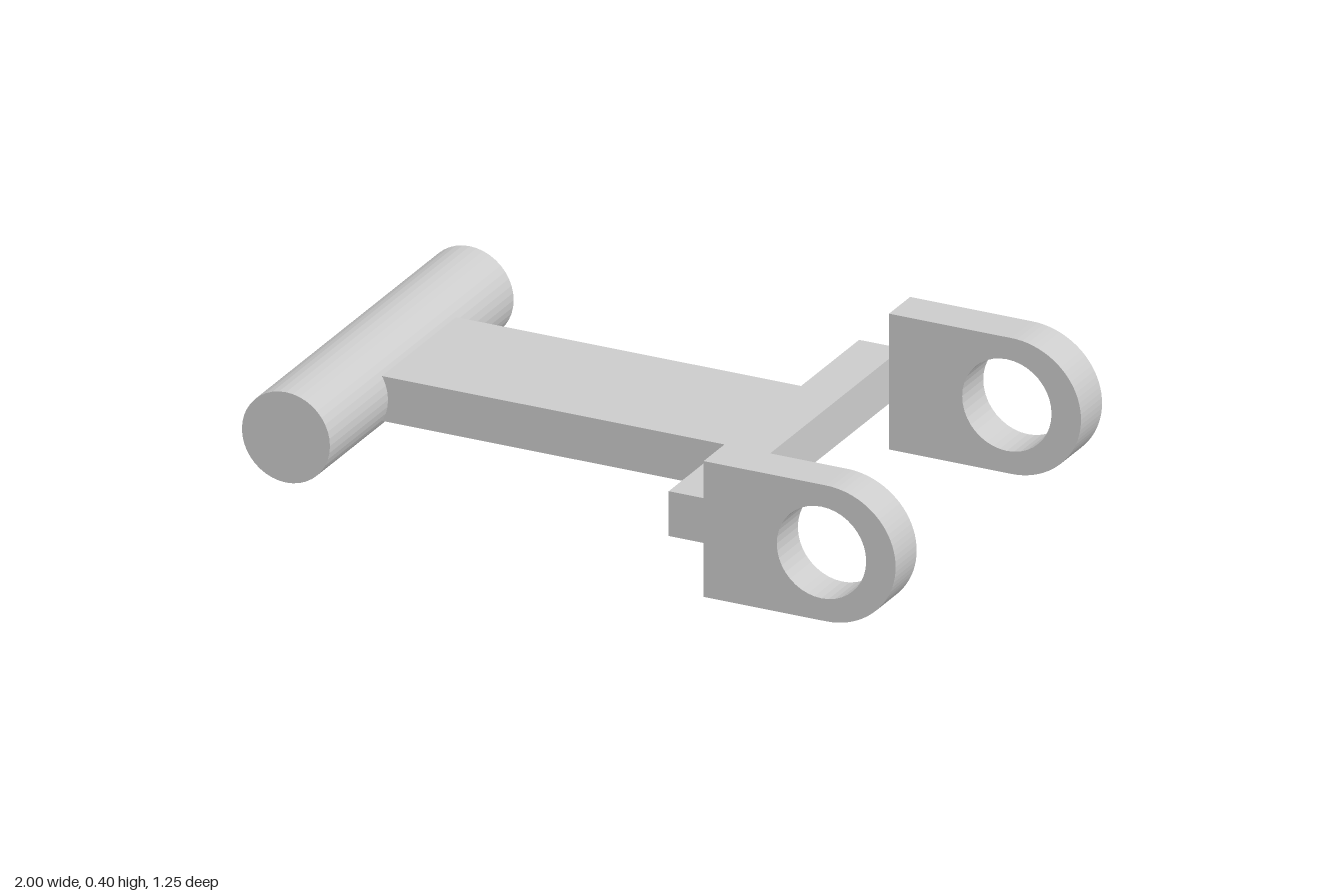
import * as THREE from 'three';

const material = new THREE.MeshStandardMaterial({ color: 0xcccccc, flatShading: true });

function addMesh(parent, name, geometry) {
  const mesh = new THREE.Mesh(geometry, material);
  mesh.name = name;
  parent.add(mesh);
  return mesh;
}

export function createModel() {
  const group = new THREE.Group();
  group.name = 'linkArm';
  const midY = 0.2;

  // Round cross rod at the right end
  const rod = addMesh(group, 'crossRod', new THREE.CylinderGeometry(0.133, 0.133, 1.108, 40));
  rod.rotation.x = Math.PI / 2;
  rod.position.set(-0.867, midY, 0.018);

  // T-shaped arm: flat plate plus crossbar, outlined in x and -z
  const outline = [
    [-0.78, -0.222], [0.29, -0.222], [0.29, -0.573], [0.42, -0.573],
    [0.42, 0.575], [0.29, 0.575], [0.29, 0.225], [-0.78, 0.225],
  ].map(([x, y]) => new THREE.Vector2(x, y));
  const armGeometry = new THREE.ExtrudeGeometry(new THREE.Shape(outline), {
    depth: 0.132, bevelEnabled: false,
  });
  armGeometry.rotateX(-Math.PI / 2);
  addMesh(group, 'arm', armGeometry).position.y = 0.135;

  // Eye lugs: square at the crossbar, rounded at the free end, with a bore
  const lugShape = new THREE.Shape();
  lugShape.moveTo(0.42, 0);
  lugShape.lineTo(0.79, 0);
  lugShape.absellipse(0.79, midY, 0.21, 0.2, -Math.PI / 2, Math.PI / 2, false);
  lugShape.lineTo(0.42, 0.4);
  lugShape.closePath();
  const bore = new THREE.Path();
  bore.absarc(0.776, midY, 0.135, 0, Math.PI * 2, true);
  lugShape.holes.push(bore);
  const lugGeometry = new THREE.ExtrudeGeometry(lugShape, {
    depth: 0.127, bevelEnabled: false, curveSegments: 20,
  });
  addMesh(group, 'frontLug', lugGeometry).position.z = 0.495;
  addMesh(group, 'backLug', lugGeometry).position.z = -0.623;

  return group;
}
